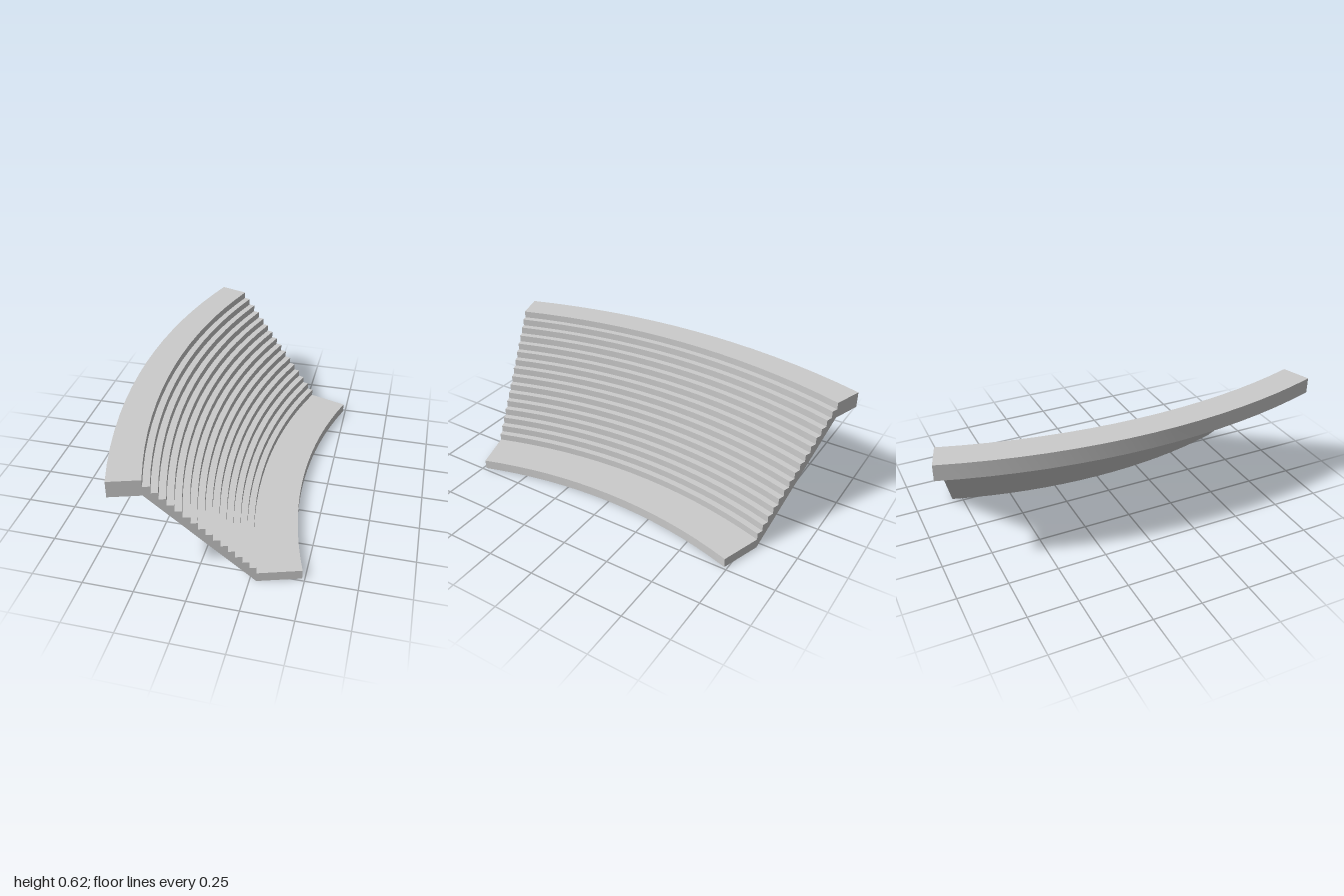
import * as THREE from 'three';
import { toCreasedNormals } from 'three/addons/utils/BufferGeometryUtils.js';

const HALF_ANGLE = Math.PI / 10;
const SEGMENTS = 16;
const R_IN = 2.378, R_FOOT = 2.593, R_HEAD = 3.083, R_OUT = 3.236; // plan radii
const TOP = 0.622, SOFFIT = 0.54, FOOT = 0.049;                    // heights
const RISERS = 16;

export function createModel() {
  const group = new THREE.Group();
  group.name = 'curvedStaircase';
  const material = new THREE.MeshStandardMaterial({ color: 0xcccccc });
  const v = (r, y) => new THREE.Vector2(r, y);
  const startAngle = -Math.PI / 2 - HALF_ANGLE;

  const body = new THREE.Group();
  body.name = 'stairBody';
  body.position.x = 2.749; // centre of the arcs
  group.add(body);

  const add = (name, geometry) => {
    const mesh = new THREE.Mesh(geometry, material);
    mesh.name = name;
    body.add(mesh);
    return mesh;
  };

  // Sweep a run of profile points (radius, height) around the arc
  const sweep = (name, points) => add(name, toCreasedNormals(
    new THREE.LatheGeometry(points, SEGMENTS, startAngle, 2 * HALF_ANGLE), 0.5));

  // Profile runs, together a closed counter-clockwise outline
  const underside = [v(R_IN, 0), v(R_FOOT, 0), v(R_HEAD, SOFFIT), v(R_OUT, SOFFIT)];
  const upperLanding = [v(R_OUT, SOFFIT), v(R_OUT, TOP), v(R_HEAD, TOP)];
  const steps = [];
  for (let i = 0; i < RISERS; i++) {
    const r = THREE.MathUtils.lerp(R_HEAD, R_FOOT, i / (RISERS - 1));
    steps.push(v(r, THREE.MathUtils.lerp(TOP, FOOT, i / RISERS)));
    steps.push(v(r, THREE.MathUtils.lerp(TOP, FOOT, (i + 1) / RISERS)));
  }
  const lowerLanding = [v(R_FOOT, FOOT), v(R_IN, FOOT), v(R_IN, 0)];

  sweep('underside', underside);
  sweep('upperLanding', upperLanding);
  sweep('steps', steps);
  sweep('lowerLanding', lowerLanding);

  // Flat side walls closing both ends of the arc
  const outline = new THREE.Shape([
    ...underside, ...upperLanding.slice(1), ...steps.slice(1), v(R_IN, FOOT),
  ]);
  for (const side of [-1, 1]) {
    const wall = new THREE.ShapeGeometry(outline);
    if (side > 0) {
      wall.index.array.reverse(); // face the other way
      wall.computeVertexNormals();
    }
    add(side > 0 ? 'frontSideWall' : 'backSideWall', wall)
      .rotation.y = -Math.PI + side * HALF_ANGLE;
  }
  return group;
}
